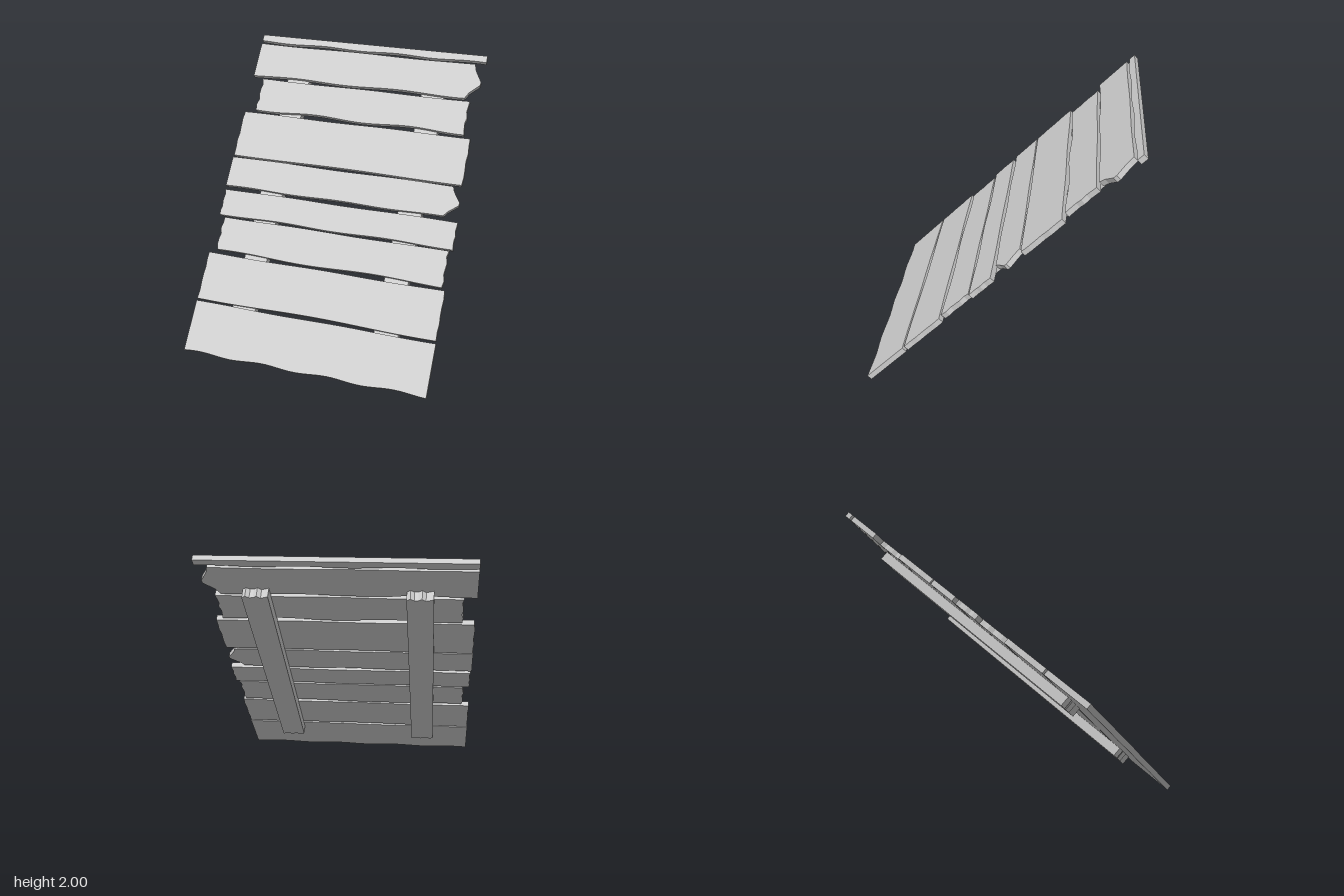
import * as THREE from 'three';

const HALF = 0.0212; // half plank thickness
const slope = (h) => Math.SQRT2 * (h - 1) - HALF; // height of the front face -> distance along the slope

// Planks from the ground up: front heights, end positions, and the waves of the lower edge
const planks = [
  { y: [0.037, 0.32], x: [-0.975, 0.97], wave: [0.006, 12, 0.2] },
  { y: [0.337, 0.605], x: [-0.972, 0.967], wave: [0.005, 4, 0], chip: 0.003 },
  { y: [0.626, 0.825], x: [-0.917, 0.94], wave: [0.006, 5.5, 0.4], chip: 0.007 },
  { y: [0.838, 0.992], x: [-0.963, 0.968], wave: [0.004, 7, -0.45], chip: 0.005 },
  { y: [1.015, 1.195], x: [-0.975, 0.958], wave: [0.003, 8, 0], pointed: true },
  { y: [1.208, 1.485], x: [-0.972, 0.952], wave: [0.003, 4, 0], chip: 0.004 },
  { y: [1.509, 1.708], x: [-0.879, 0.889], wave: [0.007, 7.8, 0.45], chip: 0.007 },
  { y: [1.728, 1.94], x: [-0.975, 0.955], wave: [0.005, 7, 0.3], pointed: true },
  { y: [1.957, 2], x: [-0.975, 0.97], wave: [0.004, 10, 0.22] },
];

// Broken right end: inset from the tip, and share of the plank's height
const pointedEnd = [[0.11, 0], [0.08, 0.16], [0.004, 0.4], [0, 0.5], [0.042, 0.74], [0.06, 0.86], [0.07, 1]];

// Closed outline: wavy bottom, right end, gently wavy top, left end
function plankShape({ y: [y0, y1], x: [x0, x1], wave: [amp, freq, peak], chip = 0, pointed = false }) {
  const point = (x, t) => new THREE.Vector2(x, slope(y0 + (y1 - y0) * t));
  const chipped = (x, turn) => Array.from({ length: 7 }, (_, i) =>
    point(x + chip * Math.sin(i * 2.3 + y0 * 9 + turn), i / 6));
  const right = pointed ? pointedEnd.map(([inset, t]) => point(x1 - inset, t)) : chipped(x1, 0);
  const left = chipped(x0, 2);
  const edge = (a, b, offset) => Array.from({ length: 41 }, (_, i) => {
    const x = a.x + (b.x - a.x) * i / 40;
    return new THREE.Vector2(x, a.y + offset(x) * Math.SQRT2);
  });
  const bottom = edge(left[0], right[0], (x) => amp * Math.cos(freq * (x - peak)));
  const top = edge(right.at(-1), left.at(-1), (x) => (y1 < 2 ? 0.002 * Math.sin(6 * x + y0 * 5) : 0));
  return new THREE.Shape([...bottom, ...right.slice(1, -1), ...top, ...left.slice(1, -1).reverse()]);
}

// Long batten with chipped ends
function battenShape(centre) {
  const end = (sign) => Array.from({ length: 8 }, (_, i) =>
    new THREE.Vector2(centre - 0.095 + 0.19 * i / 7, sign * (1.07 + 0.012 * Math.sin(i * 2.2 + sign))));
  return new THREE.Shape([...end(-1), ...end(1).reverse()]);
}

export function createModel() {
  const model = new THREE.Group();
  const wood = new THREE.MeshStandardMaterial({ color: 0xcccccc });
  wood.name = 'pale grey wood';

  // Everything lies on a plane leaning back at 45 degrees
  const panel = new THREE.Group();
  panel.name = 'leaningPanel';
  panel.rotation.x = -Math.PI / 4;
  panel.position.y = 1;
  model.add(panel);

  const addSlab = (name, shape, back, depth) => {
    const geometry = new THREE.ExtrudeGeometry(shape, { depth, bevelEnabled: false });
    geometry.translate(0, 0, back);
    const mesh = new THREE.Mesh(geometry, wood);
    mesh.name = name;
    panel.add(mesh);
  };

  planks.forEach((plank, i) => addSlab(`plank${i + 1}`, plankShape(plank), -HALF, HALF * 2));

  // Two battens behind the planks
  addSlab('leftBatten', battenShape(0.58), -0.095, 0.085);
  addSlab('rightBatten', battenShape(-0.58), -0.095, 0.085);
  return model;
}
